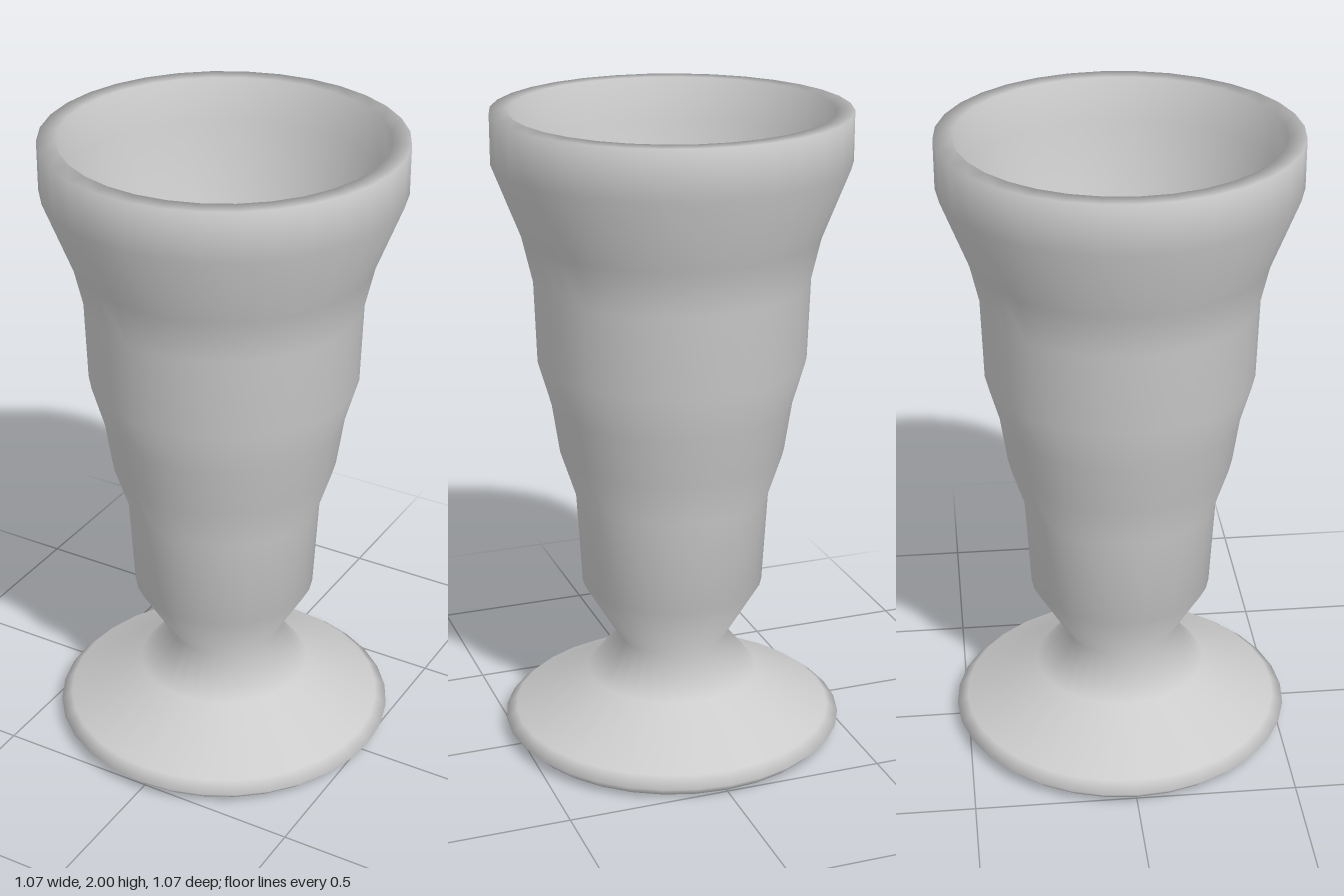
import * as THREE from 'three';

// Outline pieces as [radius, height], running from under the foot, up the outside, down the inside
const underside = [[0, 0.24], [0.12, 0.22], [0.25, 0.14], [0.46, 0.04], [0.485, 0]];
const foot = [[0.5, 0.005], [0.535, 0.04], [0.5, 0.07], [0.27, 0.195]];
const neck = [[0.17, 0.315]];
const bowl = [
  [0.283, 0.505], [0.3, 0.8], [0.347, 0.945], [0.37, 1.1],
  [0.41, 1.24], [0.418, 1.49], [0.45, 1.63], [0.535, 1.85],
];
const rim = [[0.535, 2], [0.48, 2]];
const inside = [
  [0.478, 1.86], [0.395, 1.63], [0.362, 1.49], [0.353, 1.25], [0.315, 1.1],
  [0.29, 0.945], [0.245, 0.8], [0.228, 0.56], [0.13, 0.44], [0, 0.41],
];

export function createModel() {
  const group = new THREE.Group();
  group.name = 'footedGlass';

  // One continuous turned skin keeps the shading smooth from foot to rim
  const profile = [...underside, ...foot, ...neck, ...bowl, ...rim, ...inside]
    .map(([r, y]) => new THREE.Vector2(r, y));
  const glass = new THREE.Mesh(
    new THREE.LatheGeometry(profile, 32),
    new THREE.MeshStandardMaterial({ color: 0xcccccc })
  );
  glass.name = 'glass';
  group.add(glass);
  return group;
}
